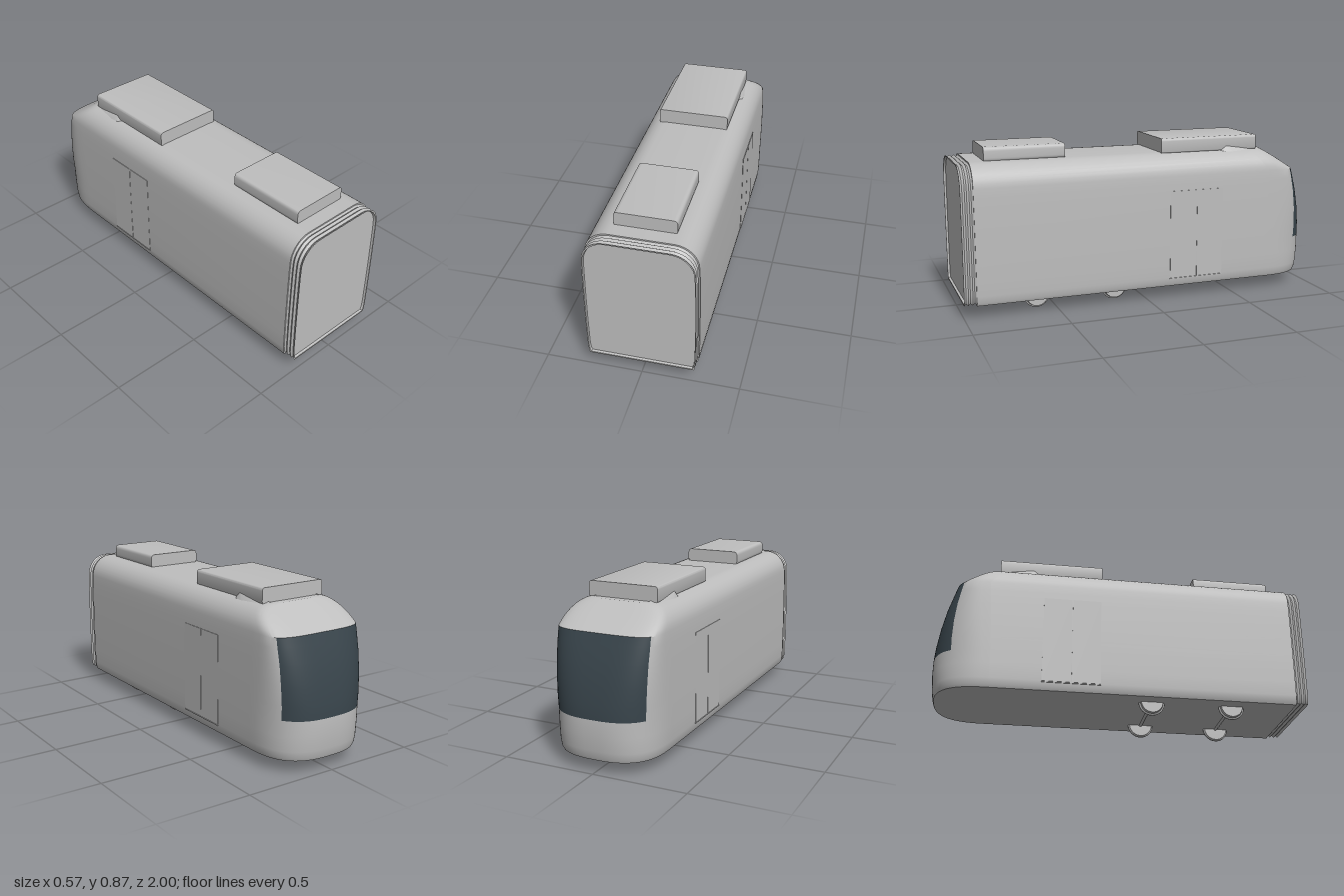
import * as THREE from 'three';
import { toCreasedNormals } from 'three/addons/utils/BufferGeometryUtils.js';
import { ConvexGeometry } from 'three/addons/geometries/ConvexGeometry.js';

const grey = new THREE.MeshStandardMaterial({ color: 0xbebebe });
grey.name = 'grey paint';
const glass = new THREE.MeshStandardMaterial({ color: 0x38444b });
glass.name = 'dark glass';

// Skin closed rings (counter-clockwise seen from the loft direction) and cap both ends.
// Quads for which isGlass(i, j) holds go into the second material group.
function loft(rings, crease, isGlass = () => false) {
  const n = rings[0].length, pos = [], main = [], pane = [];
  rings.forEach(r => r.forEach(p => pos.push(...p)));
  for (let i = 0; i < rings.length - 1; i++) {
    for (let j = 0; j < n; j++) {
      const a = i * n + j, b = i * n + (j + 1) % n;
      (isGlass(i, j) ? pane : main).push(a, b, b + n, a, b + n, a + n);
    }
  }
  const cap = (i, flip) => {
    const c = pos.length / 3;
    pos.push(...[0, 1, 2].map(k => rings[i].reduce((s, p) => s + p[k], 0) / n));
    for (let j = 0; j < n; j++) {
      const a = i * n + j, b = i * n + (j + 1) % n;
      main.push(c, flip ? b : a, flip ? a : b);
    }
  };
  cap(0, true);
  cap(rings.length - 1, false);
  const g = new THREE.BufferGeometry();
  g.setAttribute('position', new THREE.Float32BufferAttribute(pos, 3));
  g.setIndex([...main, ...pane]);
  g.addGroup(0, main.length, 0);
  if (pane.length) g.addGroup(main.length, pane.length, 1);
  return toCreasedNormals(g, crease);
}

// Body levels: y, half width, nose tip z, z where the nose starts, nose squareness
const levels = [
  [0.07, 0.27, -0.982, -0.7, 2.7], [0.085, 0.277, -0.988, -0.7, 2.7],
  [0.12, 0.281, -0.994, -0.7, 2.7], [0.2, 0.282, -1, -0.7, 2.7],
  [0.278, 0.283, -1, -0.7, 2.7], [0.35, 0.283, -0.993, -0.703, 2.9],
  [0.45, 0.283, -0.975, -0.708, 3.2], [0.55, 0.282, -0.95, -0.713, 3.5],
  [0.63, 0.281, -0.922, -0.717, 3.8], [0.678, 0.279, -0.905, -0.72, 4],
];
const GLASS_FROM = 4, GLASS_TO = 9;
// Rounded roof shoulder, sloping back above the windscreen
for (let k = 1; k <= 8; k++) {
  const a = (k / 8) * Math.PI / 2, t = Math.sin(a);
  levels.push([0.678 + 0.119 * t, 0.16 + 0.119 * Math.cos(a), -0.905 + 0.195 * t, -0.72 + 0.1 * t, 4 + t]);
}

const BODY_END = 0.935, SEG = 40;

function bodyRing([y, w, tip, start, n]) {
  const ring = [[w, y, BODY_END]];
  for (let s = 0; s <= SEG; s++) {
    const a = (s / SEG) * Math.PI, c = Math.cos(a);
    ring.push([
      w * Math.sign(c) * Math.abs(c) ** (2 / n), y,
      start + (tip - start) * Math.abs(Math.sin(a)) ** (2 / n),
    ]);
  }
  ring.push([-w, y, BODY_END]);
  return ring;
}

// Cross-section of the body, scaled about its middle
function sectionRing(z, s) {
  const half = levels.map(([y, w]) => [w * s, 0.435 + (y - 0.435) * s, z]);
  return [...half, ...half.map(([x, y]) => [-x, y, z]).reverse()];
}

function roofBox(halfWidth, y0, y1, z0, z1, r) {
  const s = new THREE.Shape();
  const w = halfWidth;
  s.moveTo(-w + r, y0);
  s.lineTo(w - r, y0);
  s.quadraticCurveTo(w, y0, w, y0 + r);
  s.lineTo(w, y1 - r);
  s.quadraticCurveTo(w, y1, w - r, y1);
  s.lineTo(-w + r, y1);
  s.quadraticCurveTo(-w, y1, -w, y1 - r);
  s.lineTo(-w, y0 + r);
  s.quadraticCurveTo(-w, y0, -w + r, y0);
  const g = new THREE.ExtrudeGeometry(s, { depth: z1 - z0, bevelEnabled: false, curveSegments: 5 });
  g.translate(0, 0, z0);
  return toCreasedNormals(g, 0.6);
}

export function createModel() {
  const model = new THREE.Group();
  model.name = 'railCar';
  const add = (name, geometry, material = grey, x = 0, y = 0, z = 0) => {
    const m = new THREE.Mesh(geometry, material);
    m.name = name;
    m.position.set(x, y, z);
    model.add(m);
    return m;
  };

  // Body shell with the wraparound windscreen
  add('bodyShell', loft(levels.map(bodyRing), 0.5,
    (i, j) => i >= GLASS_FROM && i < GLASS_TO && j >= 9 && j < 33), [grey, glass]);

  // Pleated gangway with a slightly recessed end panel
  const pleats = [];
  for (let k = 0; k <= 6; k++) {
    pleats.push(sectionRing(BODY_END - 0.002 + 0.067 * k / 6, k % 2 ? 0.96 : 0.985));
  }
  pleats.push(sectionRing(1, 0.965), sectionRing(0.988, 0.955));
  add('gangway', loft(pleats, 0.5));

  // Roof equipment
  add('rearRoofUnit', roofBox(0.19, 0.79, 0.873, -0.672, -0.105, 0.016));
  add('frontRoofUnit', roofBox(0.156, 0.79, 0.868, 0.425, 0.855, 0.022));

  for (const side of [1, -1]) {
    const name = side > 0 ? 'left' : 'right';

    // Small fairing beside the rear roof unit
    const points = [
      [0.18, 0.78, -0.43], [0.212, 0.775, -0.47], [0.185, 0.825, -0.49],
      [0.215, 0.775, -0.53], [0.195, 0.78, -0.69], [0.15, 0.8, -0.69], [0.15, 0.8, -0.43],
    ].map(([x, y, z]) => new THREE.Vector3(side * x, y, z));
    add(name + 'RoofFairing', toCreasedNormals(new ConvexGeometry(points), 0.6));

    // Double door leaves and sill
    for (const z of [-0.199, -0.355]) {
      add(name + 'DoorLeaf', new THREE.BoxGeometry(0.006, 0.482, 0.152), grey, side * 0.281, 0.359, z);
    }
    add(name + 'DoorSill', new THREE.BoxGeometry(0.008, 0.004, 0.31), grey, side * 0.281, 0.114, -0.277);

    // Flanged wheels, flange on the inner side
    const profile = [[0, 0.163], [0.062, 0.165], [0.07, 0.172], [0.07, 0.177], [0.061, 0.182], [0.058, 0.196], [0, 0.196]]
      .map(([r, x]) => new THREE.Vector2(r, x));
    for (const z of [0.6, 0.165]) {
      const wheel = add(name + 'Wheel', toCreasedNormals(new THREE.LatheGeometry(profile, 32), 0.4), grey, 0, 0.072, z);
      wheel.rotation.z = -side * Math.PI / 2;
    }
  }

  // Axles
  for (const z of [0.6, 0.165]) {
    const axle = add('axle', new THREE.CylinderGeometry(0.009, 0.009, 0.34, 12), grey, 0, 0.072, z);
    axle.rotation.z = Math.PI / 2;
  }
  return model;
}
